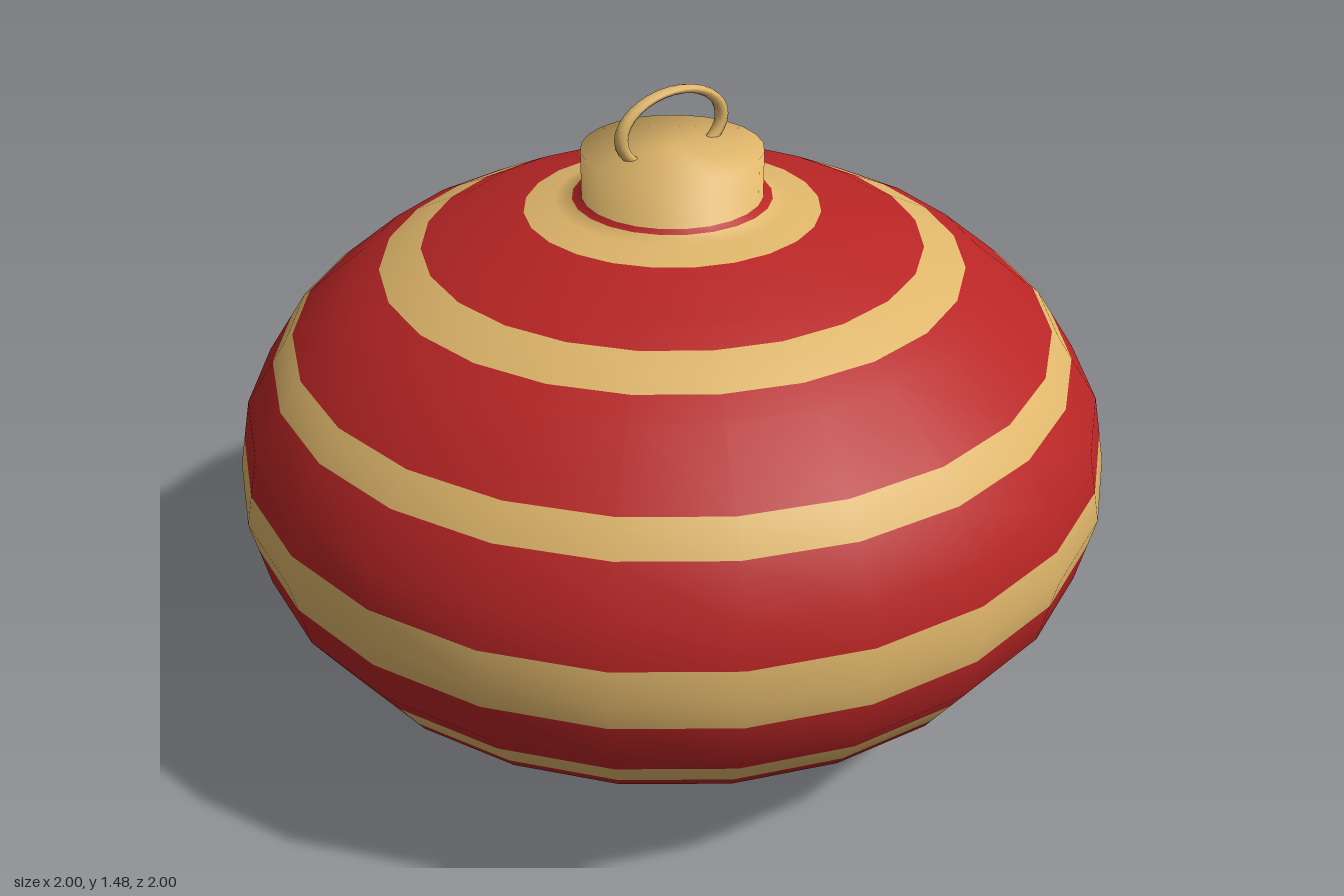
import * as THREE from 'three';

const SIDES = 24;

export function createModel() {
  const red = new THREE.MeshStandardMaterial({ color: 0xb82525 });
  red.name = 'red';
  const gold = new THREE.MeshStandardMaterial({ color: 0xdeb56a });
  gold.name = 'gold';

  const model = new THREE.Group();
  model.name = 'bauble';

  // Profile from the bottom pole up: squashed ball, then cap wall and cap top
  const knots = [];
  for (let i = 0; i <= 11; i++) {
    const a = (i / 12) * Math.PI;
    knots.push({ r: Math.sin(a), y: 0.63 - 0.625 * Math.cos(a) });
  }
  knots.push({ r: 0.2, y: 1.245 }, { r: 0.2, y: 1.35 }, { r: 0, y: 1.352 });

  // Smooth profile normals, averaged between neighbouring segments
  const edges = knots.slice(1).map((k, i) =>
    new THREE.Vector2(k.y - knots[i].y, knots[i].r - k.r).normalize());
  knots.forEach((k, i) => {
    k.n = new THREE.Vector2();
    if (i > 0) k.n.add(edges[i - 1]);
    if (i < edges.length) k.n.add(edges[i]);
    k.n.normalize();
  });
  knots[0].n.set(0, -1);
  knots[knots.length - 1].n.set(0, 1);

  // Point on the profile at a given height
  const at = (y) => {
    const i = Math.max(1, knots.findIndex((k) => k.y >= y - 1e-6));
    const a = knots[i - 1], b = knots[i];
    const t = (y - a.y) / (b.y - a.y);
    return { r: a.r + (b.r - a.r) * t, y, n: a.n.clone().lerp(b.n, t).normalize() };
  };

  // Turned slice of the profile between two heights
  const band = (name, material, y0, y1) => {
    const pts = [at(y0), ...knots.filter((k) => k.y > y0 + 1e-4 && k.y < y1 - 1e-4), at(y1)];
    const geo = new THREE.LatheGeometry(pts.map((p) => new THREE.Vector2(Math.max(p.r, 0), p.y)), SIDES);
    const normal = geo.attributes.normal;
    for (let v = 0; v < normal.count; v++) {
      const n = pts[v % pts.length].n;
      const phi = (Math.floor(v / pts.length) / SIDES) * Math.PI * 2;
      normal.setXYZ(v, n.x * Math.sin(phi), n.y, n.x * Math.cos(phi));
    }
    const mesh = new THREE.Mesh(geo, material);
    mesh.name = name;
    model.add(mesh);
  };

  // Alternating red body bands and gold stripes
  const cuts = [knots[0].y, 0.036, 0.062, 0.16, 0.21, 0.345, 0.415, 0.565, 0.7,
    0.89, 0.955, 1.1, 1.145, 1.216, 1.241, 1.245];
  for (let i = 0; i < cuts.length - 1; i++) {
    const stripe = i % 2 === 1;
    band(stripe ? 'goldStripe' : 'redBand', stripe ? gold : red, cuts[i], cuts[i + 1]);
  }
  band('cap', gold, 1.245, 1.352);

  // Flattened hanging loop, sunk into the cap
  const loop = new THREE.Mesh(new THREE.TorusGeometry(0.137, 0.015, 10, 32), gold);
  loop.name = 'hangingLoop';
  loop.scale.y = 0.6;
  loop.position.y = 1.395;
  model.add(loop);

  model.rotation.y = 0.04;
  const root = new THREE.Group();
  root.name = 'ornament';
  root.add(model);
  return root;
}
